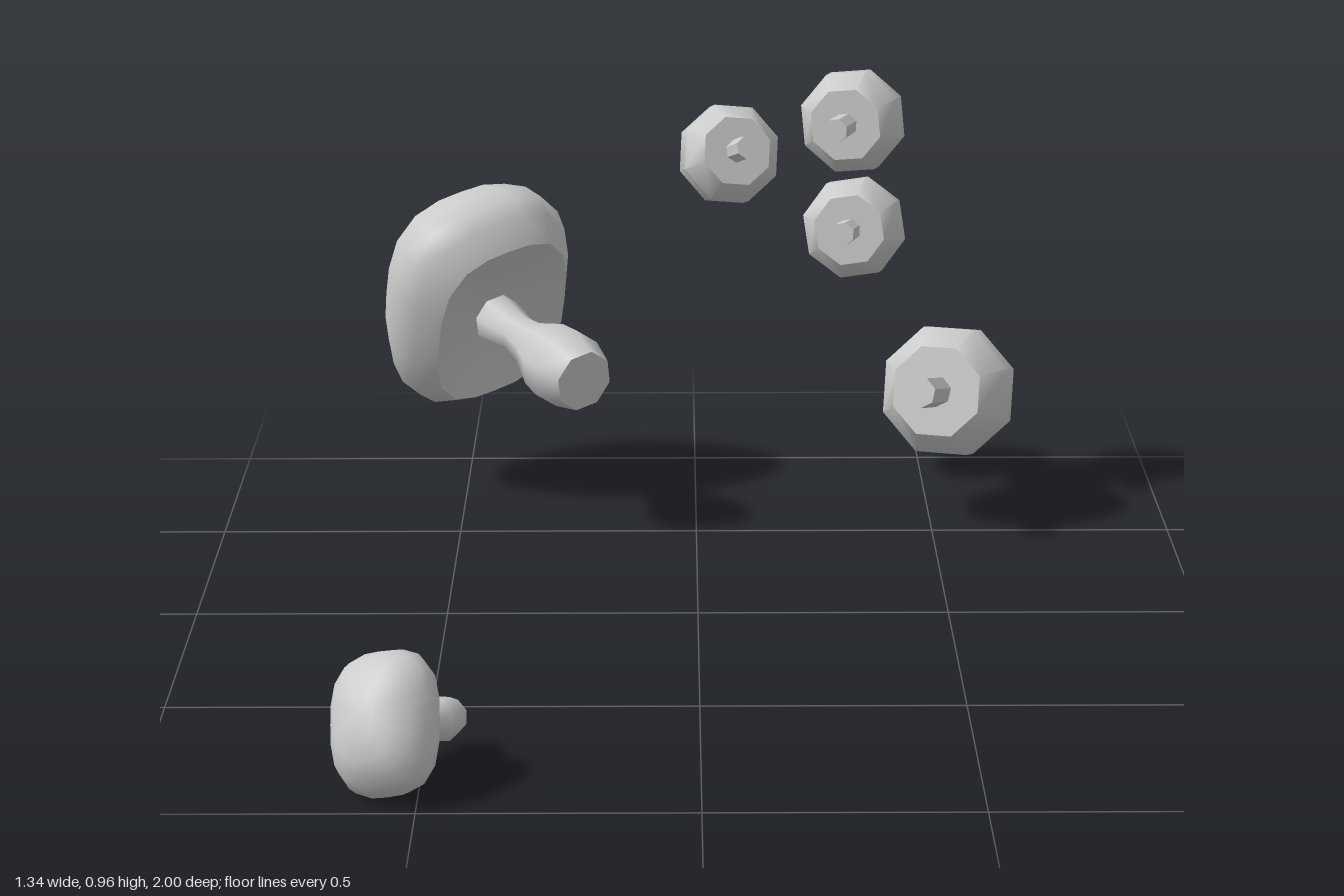
import * as THREE from 'three';
import { toCreasedNormals } from 'three/addons/utils/BufferGeometryUtils.js';

const material = new THREE.MeshStandardMaterial({ color: 0xcccccc });
const vec = (a) => new THREE.Vector3(...a);
const UP = new THREE.Vector3(0, 1, 0);

// Turned shape from [radius, height] pairs listed bottom to top
function turned(profile, sides) {
  return new THREE.LatheGeometry(profile.map(([r, y]) => new THREE.Vector2(r, y)), sides);
}

function addPart(group, name, geometry, position, quaternion) {
  const mesh = new THREE.Mesh(toCreasedNormals(geometry, 0.88), material);
  mesh.name = name;
  mesh.position.copy(position);
  mesh.quaternion.copy(quaternion);
  group.add(mesh);
}

// Round button mushroom: cut sphere cap with a straight stem
function buttonMushroom(name, center, tip, r) {
  const group = new THREE.Group();
  group.name = name;
  const c = vec(center);
  const up = c.clone().sub(vec(tip));
  const length = up.length();
  const q = new THREE.Quaternion().setFromUnitVectors(UP, up.normalize());
  addPart(group, 'roundCap', turned([
    [0, -0.7 * r], [0.7 * r, -0.7 * r], [r, -0.27 * r], [r, 0.15 * r],
    [0.74 * r, 0.68 * r], [0.36 * r, 0.92 * r], [0, 0.98 * r],
  ], 8), c, q);
  const s = 0.23 * r;
  addPart(group, 'straightStem', turned([
    [0, -length], [s, -length], [s, -0.6 * r], [0, -0.6 * r],
  ], 7), c, q);
  return group;
}

// Broad mushroom: rounded rectangular dome with a tilted, bulging stem
function broadMushroom(name, rimCenter, capDown, stemDown, twist, scale) {
  const group = new THREE.Group();
  group.name = name;
  const c = vec(rimCenter);
  const up = vec(capDown).normalize().negate();
  const side = new THREE.Vector3().crossVectors(UP, up).normalize().applyAxisAngle(up, twist);
  const along = new THREE.Vector3().crossVectors(side, up);
  const capTurn = new THREE.Quaternion().setFromRotationMatrix(
    new THREE.Matrix4().makeBasis(side, up, along));

  // Dome: squared off towards a rounded rectangle, longer in one direction
  const cap = turned([
    [0, 0.05], [0.45, 0.03], [0.78, 0], [0.94, 0.045], [1, 0.09],
    [0.96, 0.14], [0.84, 0.195], [0.6, 0.245], [0.3, 0.268], [0, 0.275],
  ], 20);
  const p = cap.attributes.position;
  for (let i = 0; i < p.count; i++) {
    const x = p.getX(i), z = p.getZ(i), r = Math.hypot(x, z);
    const k = r > 1e-6 ? r / Math.cbrt(Math.abs(x) ** 3 + Math.abs(z) ** 3) : 1;
    p.setXYZ(i, x * k * 0.205, p.getY(i), z * k * 0.262);
  }
  cap.scale(scale, scale, scale);
  addPart(group, 'domeCap', cap, c, capTurn);

  // Stem: narrow neck, then a bulge and a flat end
  const stem = turned([
    [0, -0.33], [0.066, -0.33], [0.086, -0.26], [0.08, -0.21],
    [0.05, -0.13], [0.042, -0.07], [0.055, 0.02], [0, 0.06],
  ], 8);
  stem.scale(scale, scale, scale);
  const stemTurn = new THREE.Quaternion().setFromUnitVectors(UP, vec(stemDown).normalize().negate());
  addPart(group, 'bulgingStem', stem, c, stemTurn);
  return group;
}

export function createModel() {
  const model = new THREE.Group();
  model.name = 'mushrooms';

  // name, cap centre, stem tip, cap radius
  const buttons = [
    ['buttonMushroomInner', [0.069, 0.775, -0.732], [0.108, 0.825, -0.585], 0.108],
    ['buttonMushroomTop', [0.332, 0.86, -0.682], [0.287, 0.875, -0.518], 0.111],
    ['buttonMushroomMiddle', [0.337, 0.63, -0.677], [0.304, 0.655, -0.518], 0.109],
    ['buttonMushroomLow', [0.538, 0.294, -0.587], [0.463, 0.35, -0.39], 0.143],
  ];
  for (const b of buttons) model.add(buttonMushroom(...b));

  model.add(broadMushroom('largeBroadMushroom',
    [-0.415, 0.41, -0.715], [0.56, -0.43, 0.71], [0.18, -0.05, 0.27], -0.2, 1));
  model.add(broadMushroom('smallBroadMushroom',
    [-0.53, 0.112, 0.852], [0.52, -0.45, -0.73], [0.16, -0.07, -0.28], 0.33, 0.5));
  return model;
}
